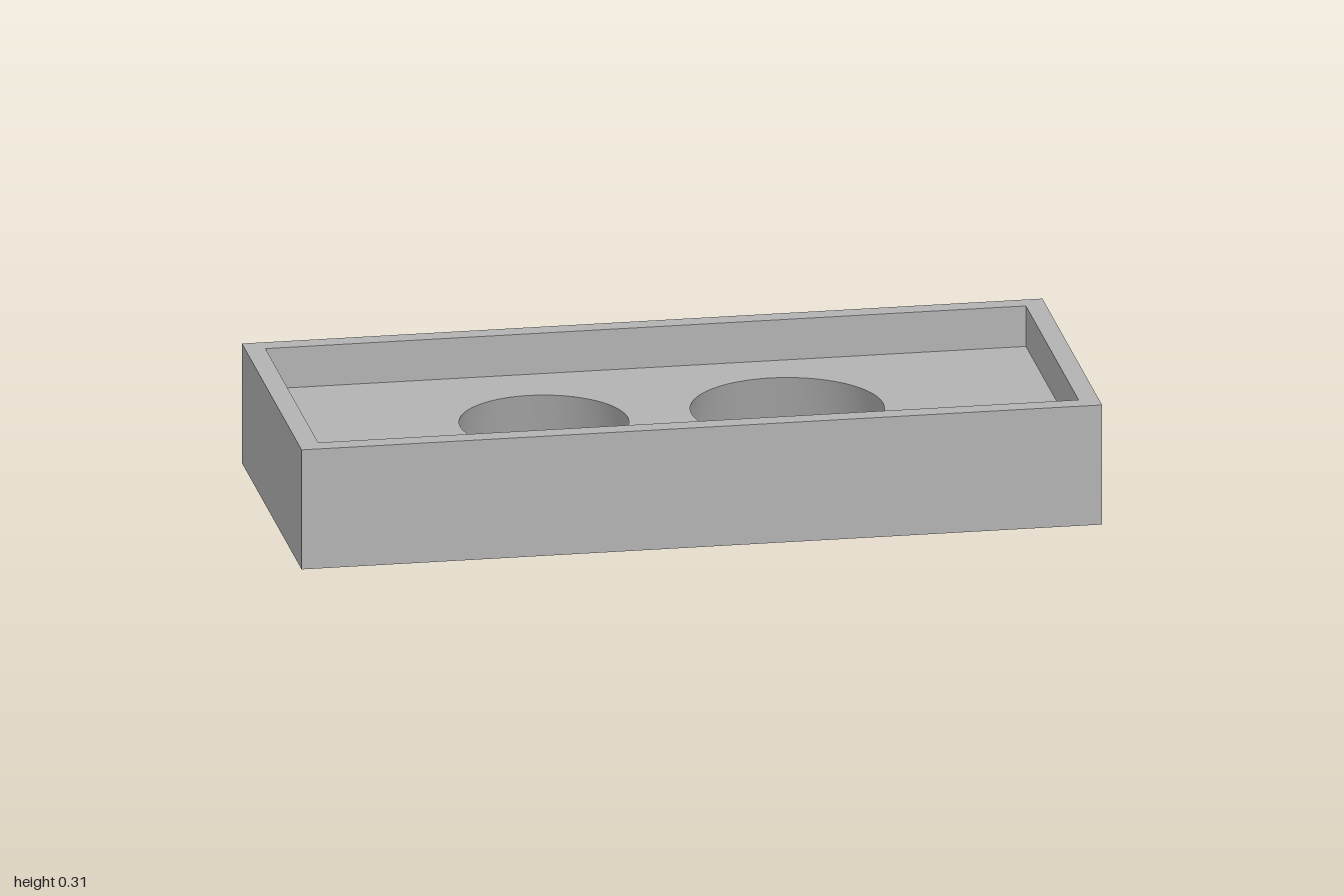
import * as THREE from 'three';

const HEIGHT = 0.31, FLOOR = 0.205;
const OUTER = [1, 0.42], INNER = [0.95, 0.371];
const SEGMENTS = 96;
// conical through-holes, wider at the underside
const HOLES = [
  { name: 'smallHole', x: -0.32, top: 0.209, bottom: 0.268 },
  { name: 'largeHole', x: 0.288, top: 0.239, bottom: 0.299 },
];

// flat rectangle pierced by both holes
function plate([hx, hz], key) {
  const shape = new THREE.Shape();
  shape.moveTo(-hx, -hz).lineTo(hx, -hz).lineTo(hx, hz).lineTo(-hx, hz).closePath();
  for (const h of HOLES) {
    shape.holes.push(new THREE.Path().absarc(h.x, 0, h[key], 0, Math.PI * 2, true));
  }
  return new THREE.ShapeGeometry(shape, SEGMENTS);
}

// rectangular loops joined in order: outer wall, rim, inner wall
function wallGeometry() {
  const sections = [[OUTER, 0], [OUTER, HEIGHT], [INNER, HEIGHT], [INNER, FLOOR]];
  const corners = [[-1, 1], [1, 1], [1, -1], [-1, -1]];
  const point = (i, j) => {
    const [[hx, hz], y] = sections[i];
    const [sx, sz] = corners[j % 4];
    return [sx * hx, y, sz * hz];
  };
  const positions = [];
  for (let i = 0; i < sections.length - 1; i++) {
    for (let j = 0; j < 4; j++) {
      const a = point(i, j), b = point(i, j + 1), c = point(i + 1, j + 1), d = point(i + 1, j);
      positions.push(...a, ...b, ...c, ...a, ...c, ...d);
    }
  }
  const geometry = new THREE.BufferGeometry();
  geometry.setAttribute('position', new THREE.Float32BufferAttribute(positions, 3));
  geometry.computeVertexNormals();
  return geometry;
}

export function createModel() {
  const group = new THREE.Group();
  group.name = 'recessedTray';
  const grey = new THREE.MeshStandardMaterial({ color: 0xb2b2b2 });
  grey.name = 'plain grey';

  const add = (name, geometry) => {
    const mesh = new THREE.Mesh(geometry, grey);
    mesh.name = name;
    group.add(mesh);
    return mesh;
  };

  add('walls', wallGeometry());
  add('recessFloor', plate(INNER, 'top').rotateX(-Math.PI / 2)).position.y = FLOOR;
  add('underside', plate(OUTER, 'bottom').rotateX(Math.PI / 2));

  // hole linings, profiled downwards so they face inwards
  for (const h of HOLES) {
    const profile = [new THREE.Vector2(h.top, FLOOR), new THREE.Vector2(h.bottom, 0)];
    add(h.name, new THREE.LatheGeometry(profile, SEGMENTS)).position.x = h.x;
  }
  return group;
}
